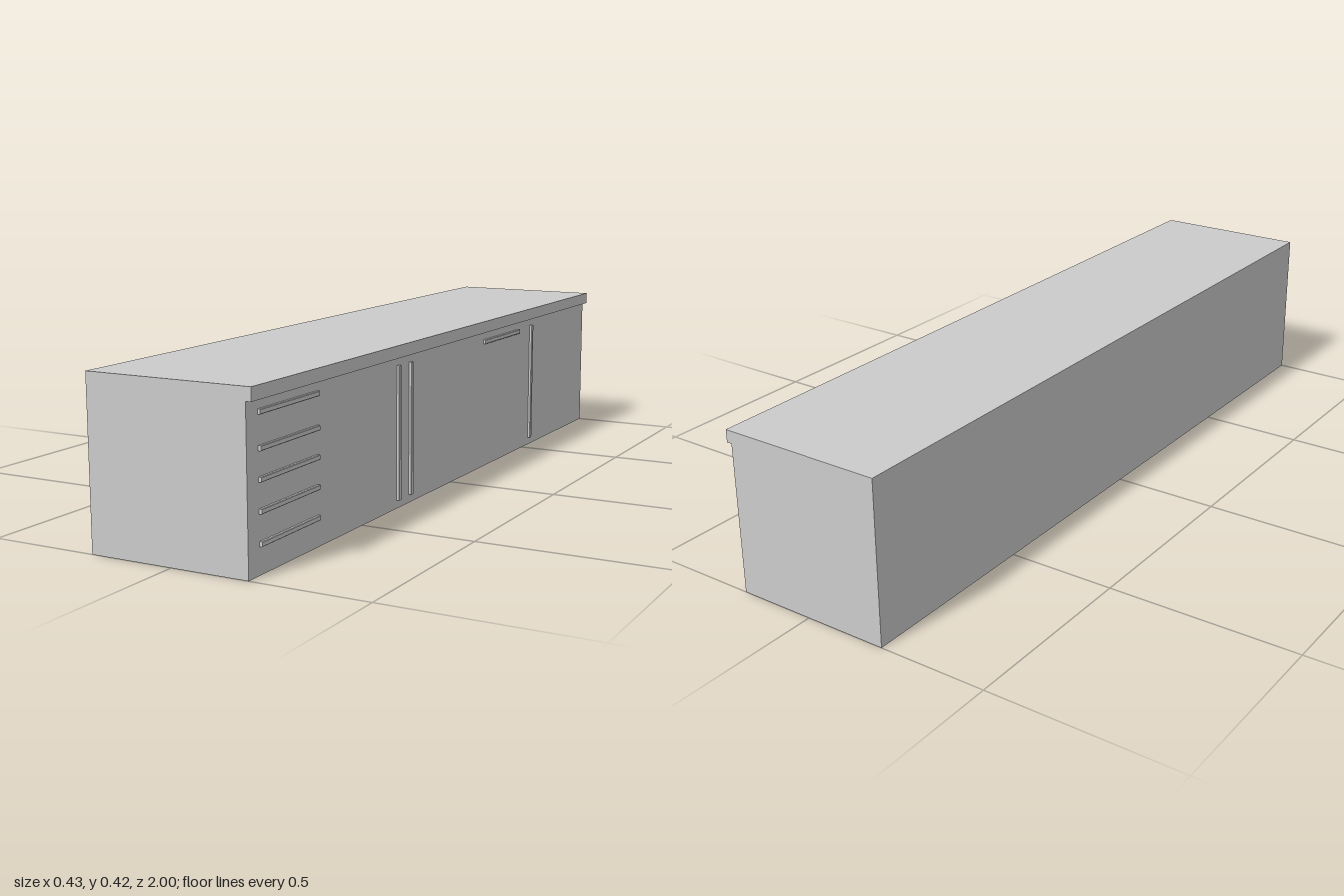
import * as THREE from 'three';

export function createModel() {
  const group = new THREE.Group();
  group.name = 'sideboard';
  const material = new THREE.MeshStandardMaterial({ color: 0xcccccc, flatShading: true });

  // Box given by its lower and upper corners
  function box(name, [x0, y0, z0], [x1, y1, z1]) {
    const mesh = new THREE.Mesh(new THREE.BoxGeometry(x1 - x0, y1 - y0, z1 - z0), material);
    mesh.position.set((x0 + x1) / 2, (y0 + y1) / 2, (z0 + z1) / 2);
    mesh.name = name;
    group.add(mesh);
  }

  // Long pull with a chamfered outer face, running along z (or y when upright)
  const face = 0.202;
  function handle(name, length, width, depth, y, z, upright) {
    const w = width / 2, c = 0.0015;
    const profile = new THREE.Shape([
      [0, -w], [depth - c, -w], [depth, -w + c], [depth, w - c], [depth - c, w], [0, w],
    ].map(([px, py]) => new THREE.Vector2(px, py)));
    const geometry = new THREE.ExtrudeGeometry(profile, { depth: length, bevelEnabled: false });
    geometry.translate(0, 0, -length / 2);
    if (upright) geometry.rotateX(Math.PI / 2);
    const mesh = new THREE.Mesh(geometry, material);
    mesh.position.set(face, y, z);
    mesh.name = name;
    group.add(mesh);
  }

  // Carcass and overhanging worktop
  box('cabinetBody', [-0.218, 0, -1], [face, 0.388, 1]);
  box('worktop', [-0.218, 0.388, -1], [0.216, 0.42, 1]);

  // Stack of drawer pulls
  [0.359, 0.28, 0.212, 0.142, 0.07].forEach((y) => handle('drawerHandle', 0.247, 0.012, 0.007, y, 0.832));

  // Flap pull and upright door pulls
  handle('flapHandle', 0.25, 0.012, 0.007, 0.359, -0.33);
  [0.315, 0.248, -0.551].forEach((z) => handle('doorHandle', 0.345, 0.012, 0.008, 0.194, z, true));

  return group;
}
